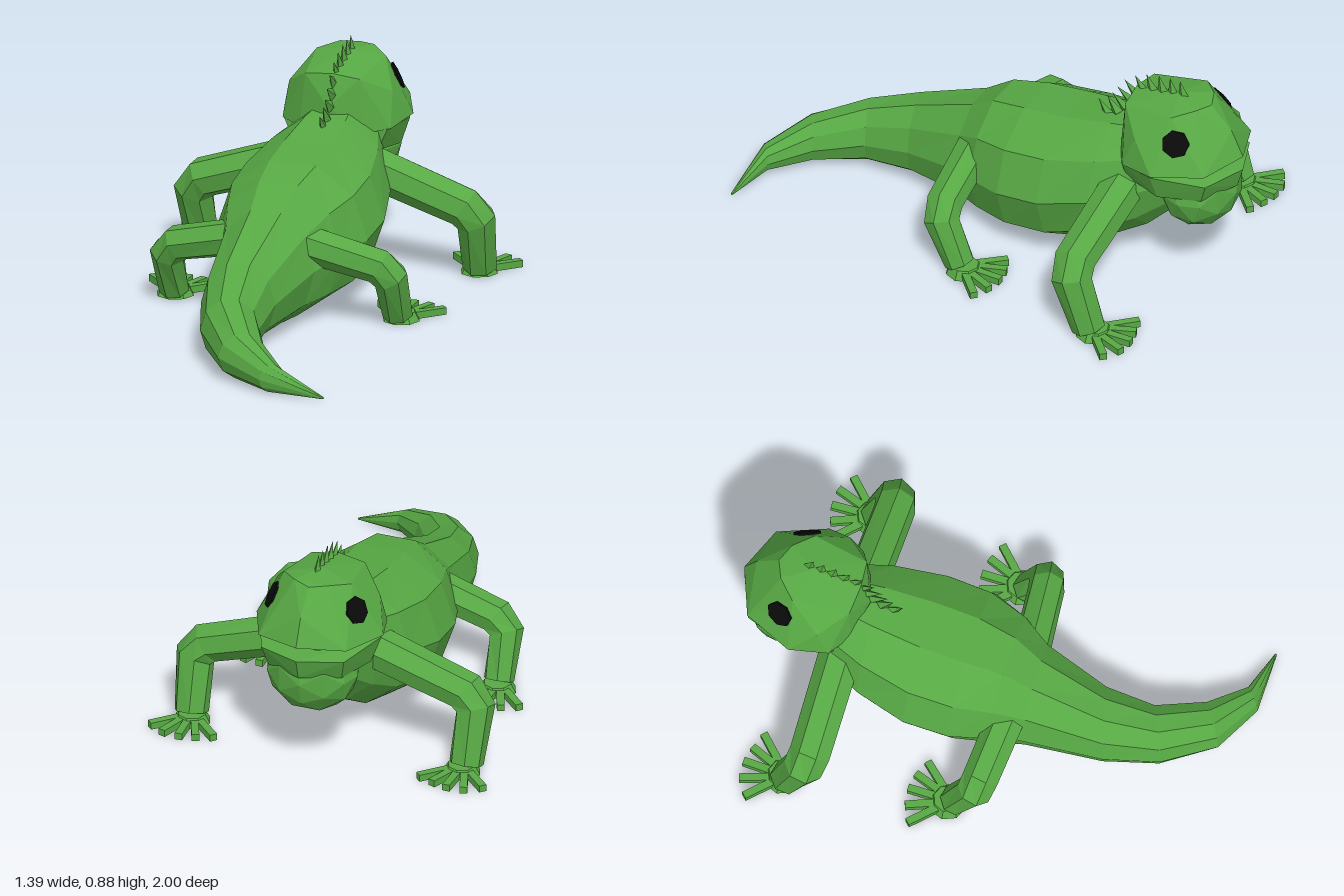
import * as THREE from 'three';
import { ConvexGeometry } from 'three/addons/geometries/ConvexGeometry.js';

const skin = new THREE.MeshStandardMaterial({ color: 0x57a844 });
skin.name = 'greenSkin';
const black = new THREE.MeshStandardMaterial({ color: 0x0a0a0a });
black.name = 'eyeBlack';

const V = (x, y, z) => new THREE.Vector3(x, y, z);

// Faceted mesh: every triangle gets its own normal
function part(name, geometry, material = skin) {
  const g = geometry.index ? geometry.toNonIndexed() : geometry;
  g.computeVertexNormals();
  const mesh = new THREE.Mesh(g, material);
  mesh.name = name;
  return mesh;
}

// Closed skin over a run of rings, each wound anticlockwise about the direction of travel
function loft(rings) {
  const n = rings[0].length, pos = [];
  const tri = (...p) => p.forEach((v) => pos.push(v.x, v.y, v.z));
  const middle = (r) => r.reduce((s, v) => s.add(v), V(0, 0, 0)).divideScalar(n);
  const first = rings[0], last = rings[rings.length - 1];
  const c0 = middle(first), c1 = middle(last);
  for (let i = 0; i < n; i++) {
    const k = (i + 1) % n;
    for (let j = 0; j < rings.length - 1; j++) {
      const a = rings[j], b = rings[j + 1];
      tri(a[i], a[k], b[i]);
      tri(a[k], b[k], b[i]);
    }
    tri(c0, first[k], first[i]);
    tri(c1, last[i], last[k]);
  }
  const g = new THREE.BufferGeometry();
  g.setAttribute('position', new THREE.Float32BufferAttribute(pos, 3));
  return g;
}

// Body cross-section from its right edge, left edge, top and bottom
function bodyRing([x0, z0, x1, z1, top, bottom]) {
  return Array.from({ length: 10 }, (_, i) => {
    const a = (i / 10) * Math.PI * 2, c = Math.cos(a) / 2;
    return V((x0 + x1) / 2 + c * (x1 - x0),
      (top + bottom) / 2 + Math.sin(a) * (top - bottom) / 1.902,
      (z0 + z1) / 2 + c * (z1 - z0));
  });
}

// Seven-sided limb through points with a radius at each
function limb(points, radii) {
  return loft(points.map((p, j) => {
    const t = V(0, 0, 0);
    if (j > 0) t.add(p.clone().sub(points[j - 1]).normalize());
    if (j < points.length - 1) t.add(points[j + 1].clone().sub(p).normalize());
    t.normalize();
    const u = V(0, 0, 1).addScaledVector(t, -t.z).normalize();
    const v = t.clone().cross(u);
    return Array.from({ length: 7 }, (_, i) => {
      const a = ((i + 0.25) / 7) * Math.PI * 2;
      return p.clone().addScaledVector(u, Math.cos(a) * radii[j]).addScaledVector(v, Math.sin(a) * radii[j]);
    });
  }));
}

// Convex shell from points listed for one half
function mirroredHull(points) {
  return new ConvexGeometry(points.flatMap(([x, y, z]) => (x ? [V(x, y, z), V(-x, y, z)] : [V(0, y, z)])));
}

// Leg with a flat foot and five fanned toes
function leg(name, side, path, radii, foot, toeTips) {
  const group = new THREE.Group();
  group.name = name;
  group.add(part('limb', limb(path.map(([x, y, z]) => V(side * x, y, z)), radii)));
  const palm = part('palm', new THREE.CylinderGeometry(0.055, 0.075, 0.035, 8));
  palm.position.set(side * foot[0], 0.0175, foot[1]);
  group.add(palm);
  toeTips.forEach(([x, z], i) => {
    const bx = foot[0] + (i - 2) * 0.022, bz = foot[1] - 0.03;
    const dx = side * (x - bx), dz = z - bz;
    const toe = part('toe', new THREE.BoxGeometry(0.03, 0.028, Math.hypot(dx, dz)));
    toe.position.set(side * (x + bx) / 2, 0.014, (z + bz) / 2);
    toe.rotation.y = Math.atan2(dx, dz);
    group.add(toe);
  });
  return group;
}

export function createModel() {
  const model = new THREE.Group();
  model.name = 'lizard';

  // Torso running into the curled tail
  const sections = [
    [-0.13, -0.74, 0.13, -0.74, 0.6, 0.32],
    [-0.2, -0.61, 0.2, -0.61, 0.645, 0.19],
    [-0.265, -0.46, 0.265, -0.46, 0.625, 0.095],
    [-0.31, -0.26, 0.31, -0.26, 0.59, 0.03],
    [-0.305, -0.08, 0.305, -0.08, 0.565, 0.01],
    [-0.26, 0.07, 0.25, 0.07, 0.53, 0.005],
    [-0.215, 0.19, 0.18, 0.18, 0.45, 0.005],
    [-0.17, 0.5, 0.11, 0.43, 0.325, 0.01],
    [-0.1, 0.71, 0.11, 0.62, 0.25, 0.01],
    [0.04, 0.9, 0.2, 0.8, 0.18, 0.008],
    [0.24, 0.995, 0.32, 0.93, 0.11, 0.006],
    [0.497, 0.99, 0.5, 0.982, 0.014, 0.006],
  ];
  model.add(part('bodyAndTail', loft(sections.map(bodyRing))));

  // Head: skull, lower jaw and throat pouch
  const head = new THREE.Group();
  head.name = 'head';
  const lip = V(0.18, 0.6, -0.93), cheek = V(0.26, 0.585, -0.74), brow = V(0.14, 0.8, -0.76);
  head.add(part('skull', mirroredHull([
    [0, 0.615, -1], lip.toArray(), cheek.toArray(), [0.22, 0.565, -0.59], [0.13, 0.555, -0.53], [0, 0.55, -0.5],
    [0, 0.72, -0.95], [0.21, 0.7, -0.64], [0.11, 0.77, -0.54], [0, 0.66, -0.49],
    [0, 0.81, -0.86], brow.toArray(), [0.07, 0.815, -0.83], [0, 0.825, -0.72], [0, 0.785, -0.53],
  ])));
  head.add(part('lowerJaw', mirroredHull([
    [0, 0.555, -1], [0.17, 0.548, -0.93], [0.25, 0.572, -0.73], [0.21, 0.565, -0.58],
    [0, 0.47, -0.975], [0.15, 0.46, -0.9], [0.21, 0.46, -0.74], [0.17, 0.475, -0.58],
  ])));
  const pouch = part('throatPouch', new THREE.IcosahedronGeometry(1, 1).scale(0.185, 0.17, 0.155));
  pouch.position.set(0, 0.43, -0.815);
  head.add(pouch);

  // Eyes lie flat on the cheek facets
  const normal = brow.clone().sub(lip).cross(cheek.clone().sub(lip)).normalize();
  const depth = normal.dot(lip);
  for (const s of [1, -1]) {
    const eye = part(s > 0 ? 'leftEye' : 'rightEye', new THREE.CylinderGeometry(0.055, 0.055, 0.009, 7), black);
    const c = V(0, 0.71, -0.8);
    c.x = (depth - normal.y * c.y - normal.z * c.z) / normal.x;
    c.addScaledVector(normal, 0.003);
    eye.position.set(s * c.x, c.y, c.z);
    eye.quaternion.setFromUnitVectors(V(0, 1, 0), V(s * normal.x, normal.y, normal.z));
    head.add(eye);
  }
  model.add(head);

  // Row of spikes from the shoulders over the crown
  const crest = new THREE.Group();
  crest.name = 'crest';
  const ridge = new THREE.CatmullRomCurve3([
    V(0.01, 0.615, -0.4), V(0.01, 0.66, -0.46), V(0.01, 0.76, -0.53), V(0.01, 0.805, -0.61), V(0.01, 0.82, -0.74)]);
  for (let i = 0; i < 10; i++) {
    const p = ridge.getPointAt(i / 9), t = ridge.getTangentAt(i / 9);
    const dir = V(0, -t.z + 0.25, t.y + 0.2).normalize();
    const spike = part('spike', new THREE.ConeGeometry(0.027, 0.08, 4).scale(0.6, 1, 1));
    spike.position.copy(p).addScaledVector(dir, 0.022);
    spike.quaternion.setFromUnitVectors(V(0, 1, 0), dir);
    crest.add(spike);
  }
  model.add(crest);

  // Four legs
  for (const s of [1, -1]) {
    const label = s > 0 ? 'left' : 'right';
    model.add(leg(label + 'FrontLeg', s,
      [[0.15, 0.42, -0.56], [0.53, 0.295, -0.56], [0.575, 0.24, -0.575], [0.565, 0.03, -0.645]],
      [0.085, 0.082, 0.08, 0.068], [0.555, -0.665],
      [[0.42, -0.785], [0.485, -0.81], [0.55, -0.825], [0.62, -0.82], [0.685, -0.78]]));
    model.add(leg(label + 'HindLeg', s,
      [[0.12, 0.32, 0.12], [0.41, 0.25, 0.09], [0.455, 0.2, 0.075], [0.455, 0.03, -0.005]],
      [0.075, 0.072, 0.07, 0.06], [0.46, -0.03],
      [[0.335, -0.15], [0.395, -0.18], [0.46, -0.19], [0.53, -0.18], [0.595, -0.15]]));
  }
  return model;
}
